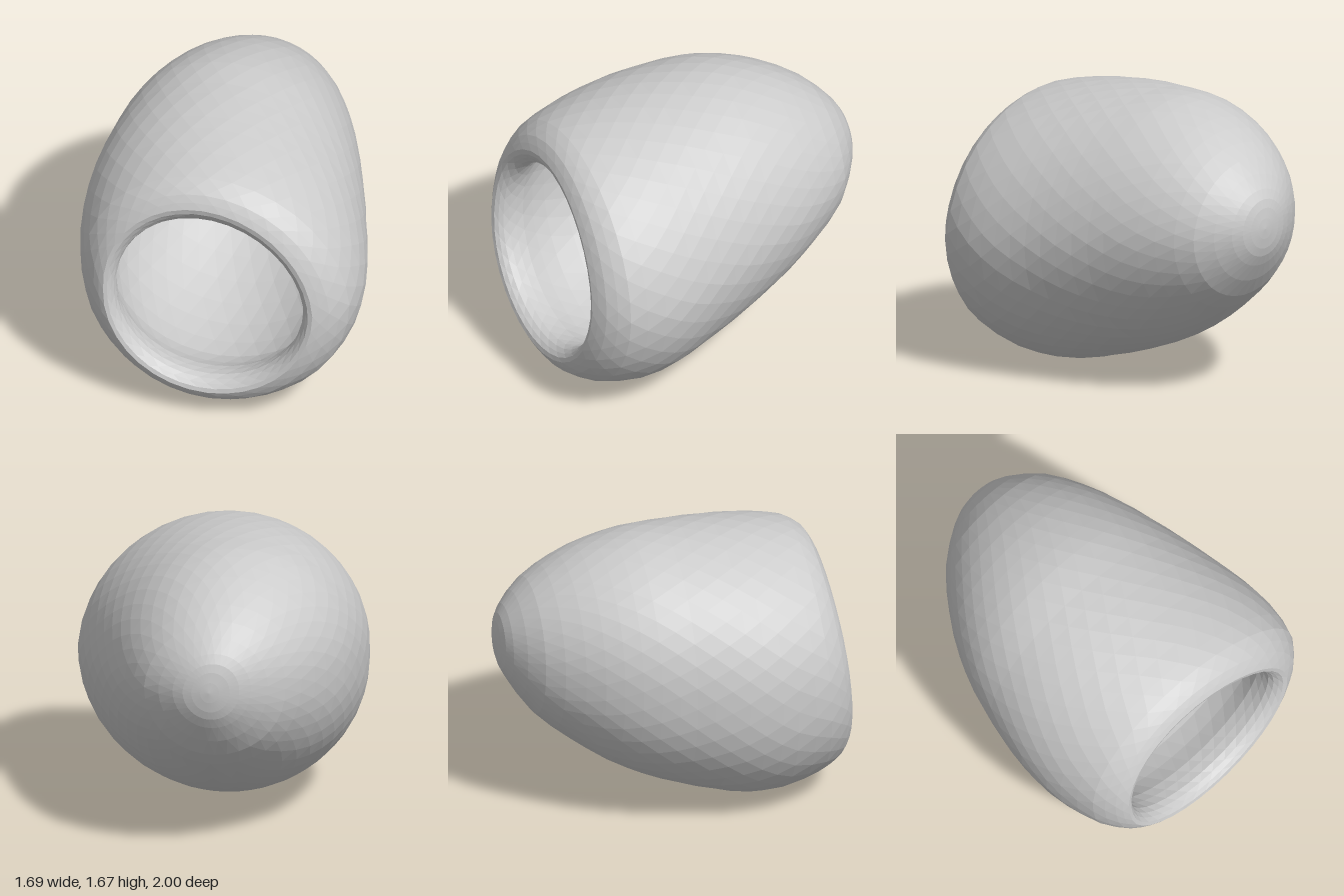
import * as THREE from 'three';

// Cross-sections along the shell: [z, left x, right x, bottom y, top y, forward lean of the section]
const OUTER = [
  [-1, 0.02, 0.02, 1.06, 1.06, 0],
  [-0.985, -0.1, 0.12, 0.94, 1.18, 0],
  [-0.94, -0.22, 0.23, 0.83, 1.28, 0],
  [-0.8, -0.415, 0.4, 0.62, 1.43, 0],
  [-0.6, -0.575, 0.52, 0.45, 1.555, 0],
  [-0.4, -0.69, 0.605, 0.31, 1.63, 0],
  [-0.2, -0.765, 0.67, 0.205, 1.67, 0],
  [0, -0.81, 0.73, 0.125, 1.672, 0],
  [0.2, -0.84, 0.78, 0.06, 1.665, 0],
  [0.4, -0.845, 0.825, 0.008, 1.645, 0],
  [0.6, -0.82, 0.842, 0.002, 1.615, 0.01],
  [0.81, -0.755, 0.805, 0.06, 1.57, 0.035],
  [0.92, -0.675, 0.71, 0.13, 1.51, 0.055],
];
const LIP = [
  [0.965, -0.61, 0.62, 0.2, 1.43, 0.06],
  [0.94, -0.57, 0.575, 0.245, 1.37, 0.06],
  [0.88, -0.55, 0.55, 0.272, 1.32, 0.055],
  [0.78, -0.57, 0.57, 0.25, 1.34, 0.04],
];
const CAVITY = [
  [0.6, -0.65, 0.66, 0.17, 1.42, 0],
  [0.3, -0.7, 0.67, 0.17, 1.5, 0],
  [0, -0.67, 0.61, 0.25, 1.52, 0],
  [-0.3, -0.59, 0.53, 0.39, 1.48, 0],
  [-0.55, -0.46, 0.44, 0.54, 1.39, 0],
  [-0.73, -0.31, 0.33, 0.7, 1.27, 0],
  [-0.82, -0.14, 0.2, 0.85, 1.14, 0],
  [-0.845, 0.04, 0.04, 1, 1, 0],
];

// Skin a run of sections, smoothly interpolated between the rows
function skin(name, rows, steps, sides = 36) {
  const curve = (a, b, c) => new THREE.CatmullRomCurve3(
    rows.map(r => new THREE.Vector3(r[a], r[b], r[c])), false, 'catmullrom', 0.5);
  const first = curve(0, 1, 2), second = curve(3, 4, 5);
  const pos = [], index = [];
  for (let i = 0; i <= steps; i++) {
    const p = first.getPoint(i / steps), q = second.getPoint(i / steps);
    const rx = (p.z - p.y) / 2, ry = (q.y - q.x) / 2;
    for (let j = 0; j < sides; j++) {
      // alternate rows are staggered for triangular facets
      const a = (j + (i % 2) / 2) / sides * Math.PI * 2;
      const s = Math.sin(a), y = (q.x + q.y) / 2 + ry * s;
      // the crown leans slightly to one side
      const x = (p.y + p.z) / 2 + rx * (Math.cos(a) - 0.07 * Math.max(0, s));
      // the rim dips back a little at its upper corner
      const dip = Math.max(0, Math.sin(a - 0.4)) ** 2 * 0.5;
      pos.push(x, y, p.x - q.z * (y - 0.8 + dip));
    }
  }
  for (let i = 0; i < steps; i++) {
    for (let j = 0; j < sides; j++) {
      const k = (j + 1) % sides, r = i * sides, t = r + sides;
      if (i % 2) index.push(r + j, t + k, t + j, r + j, r + k, t + k);
      else index.push(r + j, r + k, t + j, r + k, t + k, t + j);
    }
  }
  const geo = new THREE.BufferGeometry();
  geo.setAttribute('position', new THREE.Float32BufferAttribute(pos, 3));
  geo.setIndex(index);
  geo.computeVertexNormals();
  const mesh = new THREE.Mesh(geo, new THREE.MeshStandardMaterial({
    color: 0xcccccc, flatShading: true, side: THREE.DoubleSide }));
  mesh.name = name;
  return mesh;
}

export function createModel() {
  const group = new THREE.Group();
  group.name = 'hollowShell';
  // Neighbouring runs share their end section so the skin stays closed
  group.add(skin('outerShell', OUTER, 24));
  group.add(skin('rolledLip', [OUTER[OUTER.length - 1], ...LIP], 8));
  group.add(skin('innerCavity', [LIP[LIP.length - 1], ...CAVITY], 16));
  return group;
}
